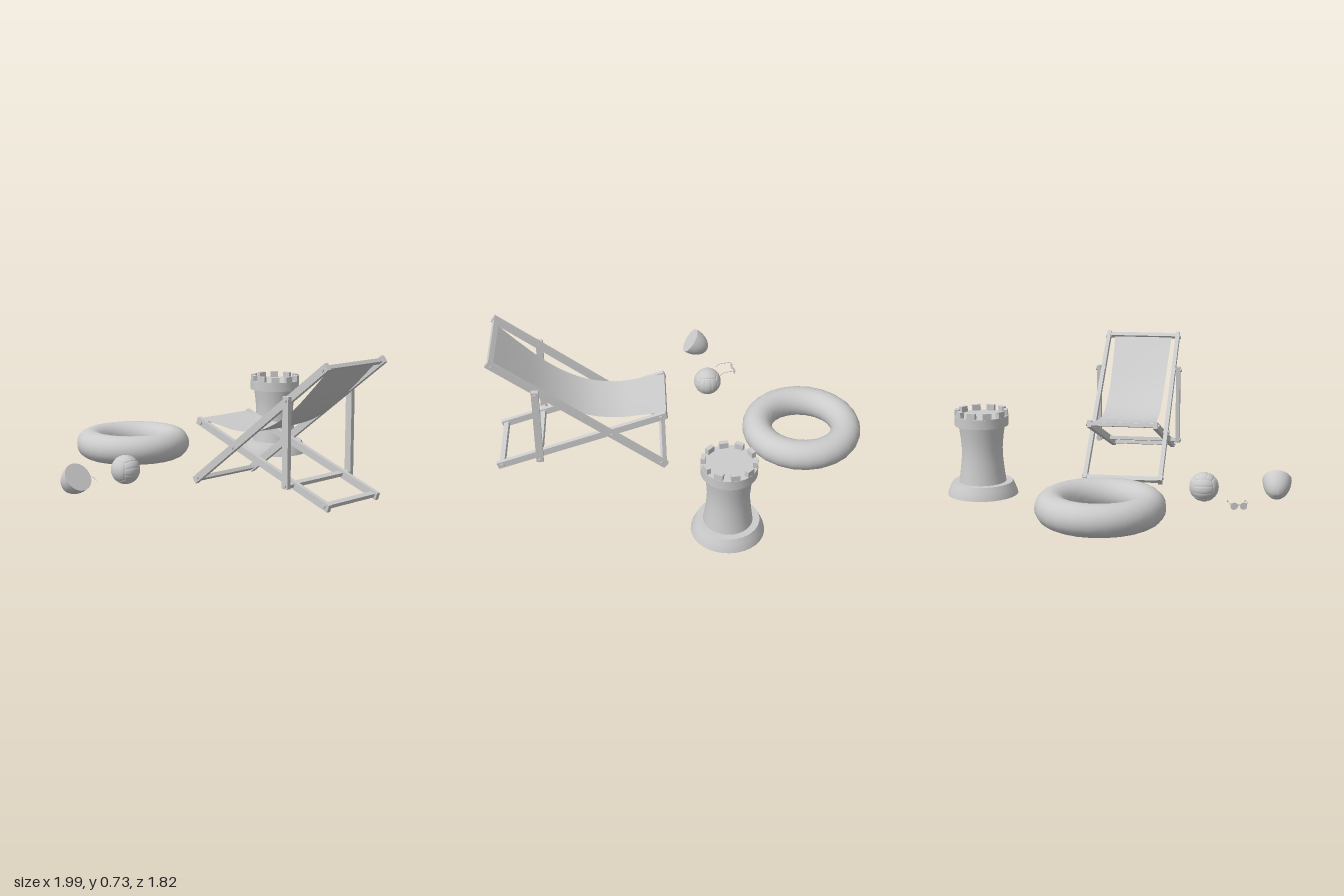
import * as THREE from 'three';
import { toCreasedNormals } from 'three/addons/utils/BufferGeometryUtils.js';

const grey = new THREE.MeshStandardMaterial({ color: 0xcccccc });
const greyDouble = new THREE.MeshStandardMaterial({ color: 0xcccccc, side: THREE.DoubleSide });

function add(parent, name, geometry, x = 0, y = 0, z = 0, material = grey) {
  const mesh = new THREE.Mesh(geometry, material);
  mesh.name = name;
  mesh.position.set(x, y, z);
  parent.add(mesh);
  return mesh;
}

function group(parent, name, x, y, z) {
  const g = new THREE.Group();
  g.name = name;
  g.position.set(x, y, z);
  parent.add(g);
  return g;
}

const lathe = (points, segments) =>
  toCreasedNormals(new THREE.LatheGeometry(points.map(p => new THREE.Vector2(...p)), segments), 0.6);

// Wooden beam between two points of a side profile, at depth z
function beam(parent, name, [x1, y1], [x2, y2], z, width = 0.038, depth = 0.023) {
  const length = Math.hypot(x2 - x1, y2 - y1);
  const mesh = add(parent, name, new THREE.BoxGeometry(length, width, depth), (x1 + x2) / 2, (y1 + y2) / 2, z);
  mesh.rotation.z = Math.atan2(y2 - y1, x2 - x1);
}

function buildDeckChair(parent) {
  const chair = group(parent, 'deckChair', 0, 0, -0.018);
  const slope = Math.atan2(0.68, 0.91), seatSlope = Math.atan2(-0.31, 0.91);

  for (const s of [1, -1]) {
    beam(chair, 'backRail', [0.075, 0.025], [0.98, 0.715], s * 0.209);
    beam(chair, 'seatRail', [0.07, 0.343], [0.98, 0.028], s * 0.182);
    beam(chair, 'supportPost', [0.747, 0.095], [0.747, 0.55], s * 0.236);
    // Bolts through the joints
    for (const [x, y, z, len] of [[0.1, 0.333, 0.188, 0.03], [0.36, 0.243, 0.199, 0.056],
      [0.747, 0.53, 0.226, 0.06], [0.747, 0.11, 0.215, 0.08], [0.955, 0.696, 0.211, 0.034], [0.955, 0.037, 0.185, 0.034],
      [0.1, 0.045, 0.211, 0.034]]) {
      const bolt = add(chair, 'bolt', new THREE.CylinderGeometry(0.01, 0.01, len, 12), x, y, s * z);
      bolt.rotation.x = Math.PI / 2;
    }
  }

  // Cross bars: position, tilt and span
  for (const [x, y, tilt, span] of [[0.965, 0.703, slope, 0.4], [0.088, 0.035, slope, 0.4],
    [0.083, 0.338, seatSlope, 0.345], [0.955, 0.037, seatSlope, 0.345], [0.747, 0.11, seatSlope, 0.45]]) {
    const bar = add(chair, 'crossBar', new THREE.BoxGeometry(0.028, 0.02, span), x, y, 0);
    bar.rotation.z = tilt;
  }

  // Sagging cloth, narrowing a little towards its middle
  const curve = new THREE.CatmullRomCurve3([[0.075, 0.352], [0.2, 0.333], [0.34, 0.318], [0.48, 0.337],
    [0.6, 0.388], [0.72, 0.47], [0.85, 0.59], [0.972, 0.712]].map(([x, y]) => new THREE.Vector3(x, y, 0)));
  const cloth = new THREE.PlaneGeometry(1, 1, 8, 32);
  const pos = cloth.attributes.position;
  for (let i = 0; i < pos.count; i++) {
    const across = pos.getX(i) * 2, t = pos.getY(i) + 0.5;
    const p = curve.getPoint(t), bow = Math.sin(Math.PI * t);
    const half = 0.178 - 0.018 * Math.sqrt(bow < 0 ? 0 : bow);
    pos.setXYZ(i, p.x, p.y - 0.006 * bow * (1 - across * across), across * half);
  }
  cloth.computeVertexNormals();
  add(chair, 'cloth', cloth, 0, 0, 0, greyDouble);
}

function buildSandTower(parent) {
  const tower = group(parent, 'sandTower', -0.22, 0, -0.725);
  add(tower, 'towerBody', lathe([[0, 0.012], [0.187, 0.012], [0.184, 0.025], [0.172, 0.055], [0.16, 0.08],
    [0.125, 0.08], [0.118, 0.13], [0.11, 0.2], [0.108, 0.26], [0.113, 0.32], [0.122, 0.385],
    [0.142, 0.385], [0.142, 0.437], [0, 0.437]], 32));
  // Battlements around the rim
  const count = 10;
  for (let i = 0; i < count; i++) {
    const a = (i + 0.25) / count * Math.PI * 2;
    const block = add(tower, 'battlement', new THREE.BoxGeometry(0.044, 0.034, 0.023),
      Math.sin(a) * 0.128, 0.451, Math.cos(a) * 0.128);
    block.rotation.y = a;
  }
}

// Ball made of six faces with three strips each, separated by shallow grooves
function buildBall(parent) {
  const n = 24, radius = 0.077;
  const geometry = new THREE.BoxGeometry(2, 2, 2, n, n, n);
  const pos = geometry.attributes.position, v = new THREE.Vector3();
  const perFace = (n + 1) * (n + 1);
  for (let i = 0; i < pos.count; i++) {
    const face = Math.floor(i / perFace), k = i % perFace;
    const col = k % (n + 1), row = Math.floor(k / (n + 1));
    const border = col % n === 0 || row % n === 0;
    const strip = (face >= 4 ? col : row) % 8 === 0;
    v.fromBufferAttribute(pos, i);
    // Even spacing of the grid over the sphere
    v.set(...v.toArray().map(c => Math.tan(c * Math.PI / 4))).setLength(border || strip ? radius - 0.0025 : radius);
    pos.setXYZ(i, v.x, v.y, v.z);
  }
  geometry.computeVertexNormals();
  add(parent, 'ball', geometry, -0.185, 0.081, 0.453);
}

function buildCoconut(parent) {
  const r = 0.076, depth = 0.12, profile = [];
  for (let i = 0; i <= 12; i++) {
    const a = i / 12 * Math.PI / 2;
    profile.push([r * Math.sin(a), -depth * Math.cos(a)]);
  }
  profile.push([0, 0]);
  const half = add(parent, 'halfCoconut', lathe(profile, 28), -0.103, 0.112, 0.83);
  half.rotation.z = -0.963;
}

function buildSunglasses(parent) {
  const glasses = group(parent, 'sunglasses', -0.348, 0.03, 0.645);
  glasses.rotation.y = 0.22;
  for (const s of [1, -1]) {
    const lens = add(glasses, 'lens', new THREE.CylinderGeometry(0.017, 0.017, 0.003, 20), 0, 0, s * 0.024);
    lens.rotation.z = Math.PI / 2;
    const rim = add(glasses, 'rim', new THREE.TorusGeometry(0.017, 0.002, 6, 20), 0, 0, s * 0.024);
    rim.rotation.y = Math.PI / 2;
    add(glasses, 'hinge', new THREE.BoxGeometry(0.003, 0.004, 0.01), 0, 0.012, s * 0.042);
    const arm = new THREE.CatmullRomCurve3([[0, 0.012], [0.06, 0.013], [0.075, 0.009], [0.092, -0.003]]
      .map(([x, y]) => new THREE.Vector3(x, y, s * 0.046)));
    add(glasses, 'arm', new THREE.TubeGeometry(arm, 12, 0.002, 6));
  }
  add(glasses, 'bridge', new THREE.BoxGeometry(0.003, 0.004, 0.018), 0, 0.007, 0);
}

export function createModel() {
  const model = new THREE.Group();
  model.name = 'beachSet';
  buildDeckChair(model);
  buildSandTower(model);
  buildBall(model);
  buildCoconut(model);
  buildSunglasses(model);
  // Inflatable swim ring
  const ring = add(model, 'swimRing', new THREE.TorusGeometry(0.244, 0.081, 20, 24), -0.675, 0.094, -0.016);
  ring.rotation.x = Math.PI / 2;
  return model;
}
